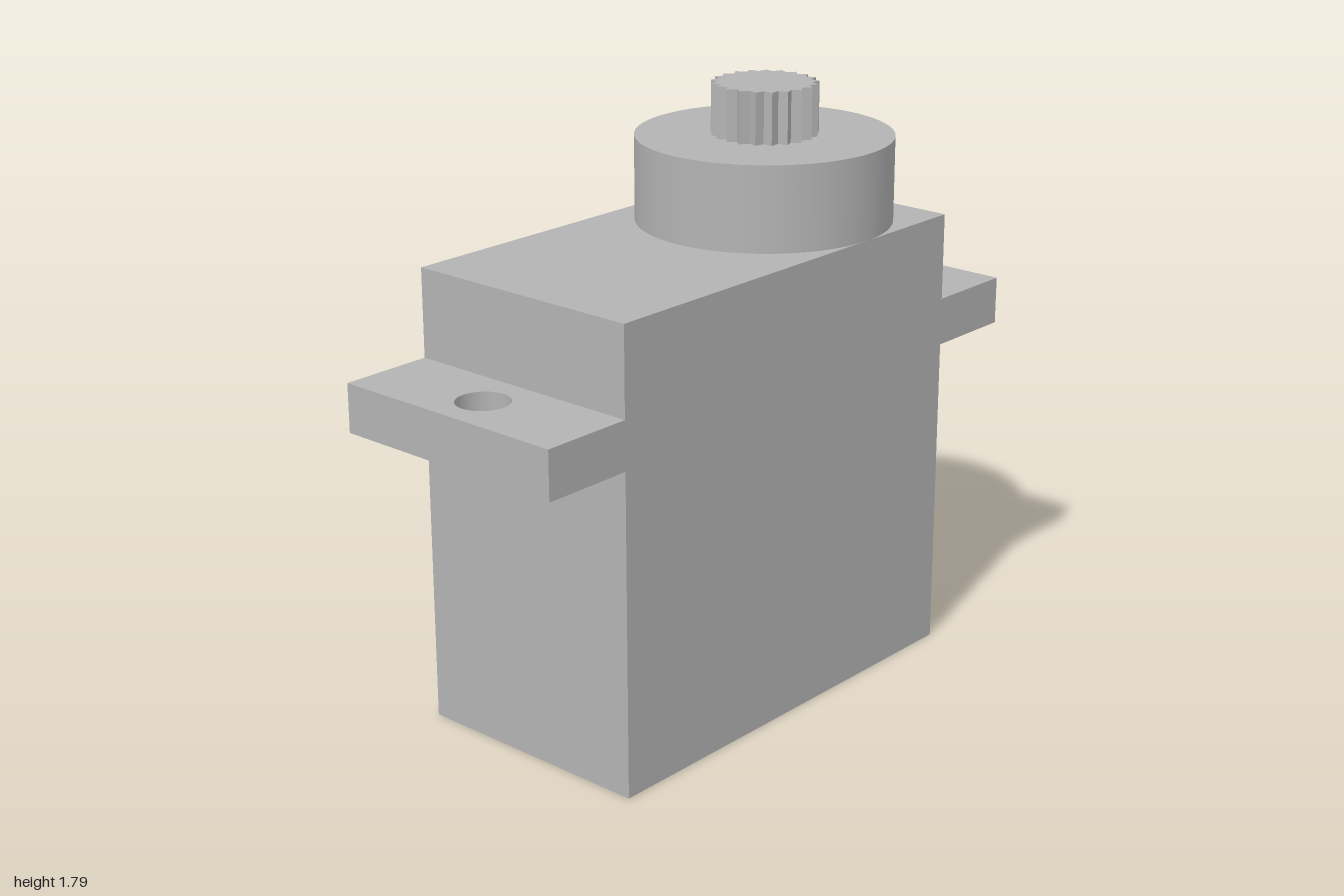
import * as THREE from 'three';

const DEPTH = 0.766; // shared z depth of case and mounting tabs
const SHAFT_X = 0.307; // axis of the output shaft

export function createModel() {
  const model = new THREE.Group();
  model.name = 'servoMotor';
  const grey = new THREE.MeshStandardMaterial({ color: 0xb3b3b3 });
  grey.name = 'grey plastic';

  const add = (name, geometry, x, y, z = 0) => {
    const mesh = new THREE.Mesh(geometry, grey);
    mesh.name = name;
    mesh.position.set(x, y, z);
    model.add(mesh);
  };
  // Box given by its x and y limits
  const addBox = (name, x0, x1, y0, y1, depth) =>
    add(name, new THREE.BoxGeometry(x1 - x0, y1 - y0, depth), (x0 + x1) / 2, (y0 + y1) / 2);
  // Plan outline raised upward from y = 0
  const raise = (shape, height) =>
    new THREE.ExtrudeGeometry(shape, { depth: height, bevelEnabled: false, curveSegments: 48 }).rotateX(-Math.PI / 2);

  // Case and cable outlet
  addBox('case', -0.715, 0.69, 0, 1.379, DEPTH);
  addBox('cableOutlet', 0.69, 1, 0.181, 0.271, 0.25);

  // Mounting tabs, each with a screw hole
  const addTab = (name, x0, x1, holeX) => {
    const h = DEPTH / 2;
    const shape = new THREE.Shape([
      new THREE.Vector2(x0, -h), new THREE.Vector2(x1, -h),
      new THREE.Vector2(x1, h), new THREE.Vector2(x0, h),
    ]);
    shape.holes.push(new THREE.Path().absarc(holeX, 0, 0.077, 0, Math.PI * 2, true));
    add(name, raise(shape, 0.145), 0, 0.97);
  };
  addTab('leftTab', 0.69, 0.98, 0.835);
  addTab('rightTab', -1, -0.715, -0.858);

  // Round gear housing
  add('gearHousing', new THREE.CylinderGeometry(0.383, 0.383, 0.256, 96), SHAFT_X, 1.507);

  // Toothed output shaft
  const teeth = 21;
  const points = [];
  for (let i = 0; i < teeth * 2; i++) {
    const r = i % 2 ? 0.138 : 0.159;
    const a = Math.PI / 2 + (i * Math.PI) / teeth;
    points.push(new THREE.Vector2(r * Math.cos(a), r * Math.sin(a)));
  }
  add('outputSpline', raise(new THREE.Shape(points), 0.155), SHAFT_X, 1.635);

  return model;
}
